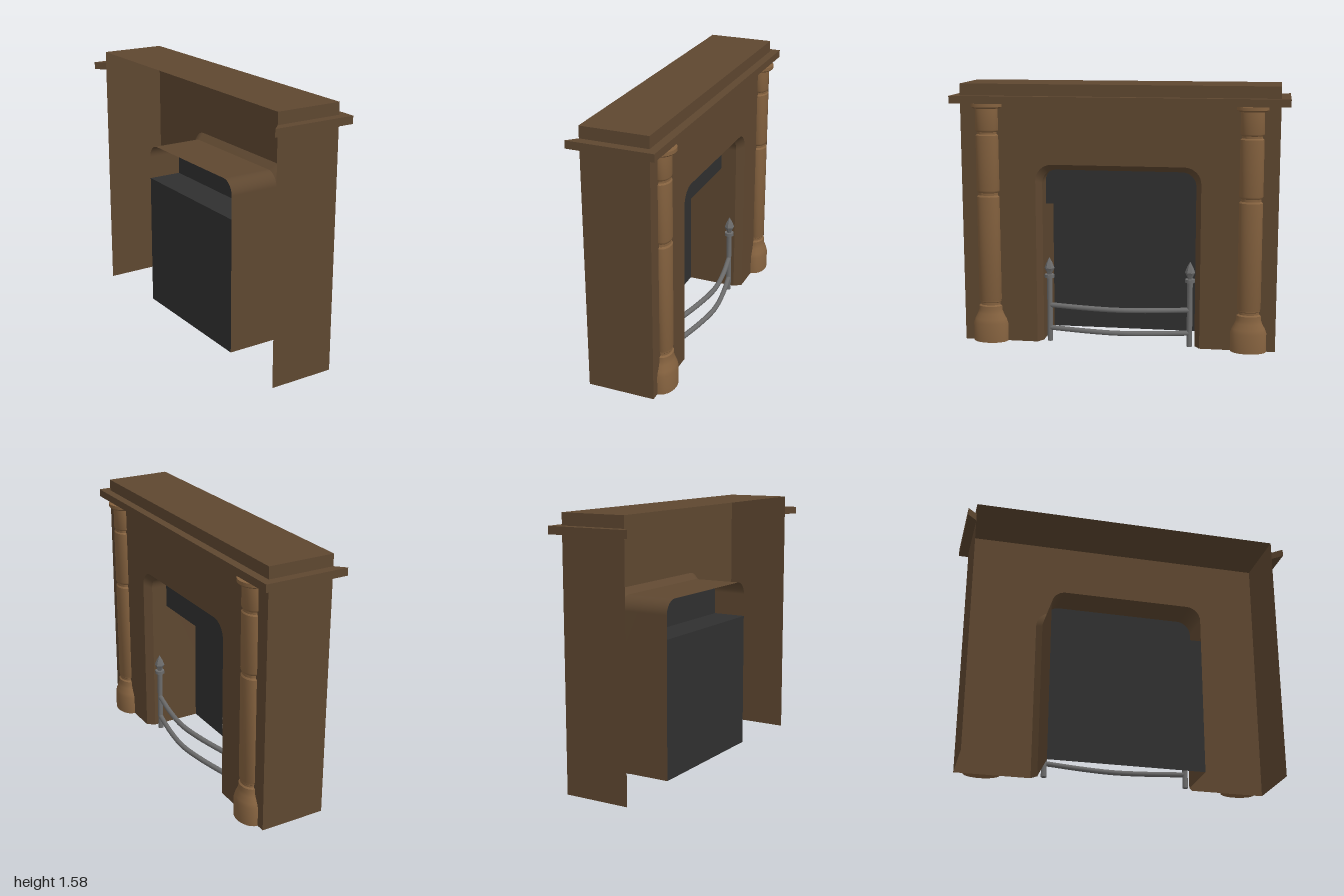
import * as THREE from 'three';
import { toCreasedNormals } from 'three/addons/utils/BufferGeometryUtils.js';

const material = (color) => new THREE.MeshStandardMaterial({ color, side: THREE.DoubleSide });

const BACK = -0.21, FRONT = 0.19, HALF = 0.945, FLOOR = 0.01, TOP = 1.58;
const FIREBOX_BACK = -0.165, HOOD_X = 0.045, HOOD_Y = 0.845;

// Round-cornered arch as [u, y] points, from one foot over the top to the other
function arch(half, top, radius, foot = FLOOR) {
  const points = [[-half, foot]];
  for (const side of [-1, 1]) {
    for (let i = 0; i <= 8; i++) {
      const t = (i / 8) * Math.PI / 2;
      const a = side < 0 ? Math.PI - t : Math.PI / 2 - t;
      points.push([side * (half - radius) + radius * Math.cos(a), top - radius + radius * Math.sin(a)]);
    }
  }
  points.push([half, foot]);
  return points;
}

// Strip of surface between two arches at two depths
function archStrip(a, xa, b, xb) {
  const positions = [], index = [];
  a.forEach(([u, y], i) => {
    positions.push(xa, y, -u, xb, b[i][1], -b[i][0]);
    if (i > 0) {
      const k = 2 * i;
      index.push(k - 2, k - 1, k, k, k - 1, k + 1);
    }
  });
  const geometry = new THREE.BufferGeometry();
  geometry.setAttribute('position', new THREE.Float32BufferAttribute(positions, 3));
  geometry.setIndex(index);
  geometry.computeVertexNormals();
  return geometry;
}

// Flat sheet facing +x, drawn in [u, y]
function sheet(points, x) {
  const shape = new THREE.Shape(points.map(([u, y]) => new THREE.Vector2(u, y)));
  return new THREE.ShapeGeometry(shape).rotateY(Math.PI / 2).translate(x, 0, 0);
}

export function createModel() {
  const model = new THREE.Group();
  const wood = material(0x5e4730), turned = material(0x85623f);
  const soot = material(0x303030), iron = material(0x6c6c6c);

  const add = (name, geometry, mat, parent = model) => {
    const mesh = new THREE.Mesh(geometry, mat);
    mesh.name = name;
    parent.add(mesh);
    return mesh;
  };

  // Surround: front with arched opening, two sides and top; back and bottom open
  const outer = arch(0.495, 1.105, 0.1);
  const inner = arch(0.463, 1.07, 0.085);
  add('frontPanel', sheet([[-HALF, FLOOR], ...outer, [HALF, FLOOR], [HALF, TOP], [-HALF, TOP]], FRONT), wood);
  const depth = FRONT - BACK, midX = (FRONT + BACK) / 2;
  for (const side of [-1, 1]) {
    const panel = new THREE.PlaneGeometry(depth, TOP - FLOOR);
    if (side < 0) panel.rotateY(Math.PI);
    add('sidePanel', panel.translate(midX, (TOP + FLOOR) / 2, side * HALF), wood);
  }
  add('topPanel', new THREE.PlaneGeometry(depth, 2 * HALF).rotateX(-Math.PI / 2).translate(midX, TOP, 0), wood);

  // Mantel moulding around three sides, with mitred back ends
  const ledge = new THREE.Shape([
    [0.24, 1], [-0.265, 1], [BACK, HALF], [FRONT, HALF],
    [FRONT, -HALF], [BACK, -HALF], [-0.265, -1], [0.24, -1],
  ].map(([x, z]) => new THREE.Vector2(x, z)));
  add('mantelMoulding', new THREE.ExtrudeGeometry(ledge, { depth: 0.045, bevelEnabled: false })
    .rotateX(-Math.PI / 2).translate(0, 1.465, 0), wood);

  // Bevelled opening and the lining behind it
  add('openingBevel', archStrip(outer, FRONT, inner, 0.145), wood);
  add('fireboxLining', archStrip(inner, 0.145, inner, FIREBOX_BACK), wood);

  // Firebox back, smoke shelf and hood
  add('fireboxBack', sheet([[-0.463, FLOOR], [0.463, FLOOR], [0.463, HOOD_Y], [-0.463, HOOD_Y]], FIREBOX_BACK), soot);
  add('smokeShelf', new THREE.PlaneGeometry(HOOD_X - FIREBOX_BACK, 0.926).rotateX(-Math.PI / 2)
    .translate((HOOD_X + FIREBOX_BACK) / 2, HOOD_Y, 0), soot);
  add('hood', sheet(arch(0.463, 1.07, 0.085, HOOD_Y), HOOD_X), soot);

  // Flattened half columns with ring grooves, flared base and cap
  const profile = [
    [0, 0.01], [0.107, 0.01], [0.107, 0.125], [0.098, 0.15], [0.08, 0.185], [0.073, 0.205], [0.072, 0.23],
    [0.06, 0.238], [0.06, 0.252], [0.066, 0.257], [0.066, 0.265], [0.07, 0.272],
    [0.069, 0.905], [0.06, 0.915], [0.06, 0.93], [0.066, 0.935], [0.07, 0.945],
    [0.069, 1.275], [0.06, 1.283], [0.06, 1.296], [0.066, 1.3], [0.07, 1.308],
    [0.068, 1.435], [0.08, 1.436], [0.092, 1.445], [0.092, 1.465], [0, 1.465],
  ].map(([r, y]) => new THREE.Vector2(r, y));
  for (const side of [-1, 1]) {
    const column = toCreasedNormals(new THREE.LatheGeometry(profile, 12, 0, Math.PI), 0.7);
    column.scale(0.66, 1, 1);
    // Cap projects a little further than the shaft
    const p = column.attributes.position;
    for (let i = 0; i < p.count; i++) if (p.getY(i) > 1.4355) p.setX(i, p.getX(i) * 1.22);
    add('halfColumn', column.translate(FRONT, 0, side * 0.785), turned);
  }

  // Fender: two finial posts and two bowed rails
  const fender = new THREE.Group();
  fender.name = 'fender';
  model.add(fender);
  const postX = 0.12, postZ = 0.43;
  const finial = [[0, 0.42], [0.014, 0.42], [0.016, 0.43], [0.031, 0.46], [0.018, 0.495], [0, 0.527]]
    .map(([r, y]) => new THREE.Vector2(r, y));
  for (const side of [-1, 1]) {
    const z = side * postZ;
    add('post', toCreasedNormals(new THREE.CylinderGeometry(0.017, 0.017, 0.4, 8), 0.9).translate(postX, 0.2, z), iron, fender);
    add('collar', toCreasedNormals(new THREE.CylinderGeometry(0.031, 0.031, 0.02, 8), 0.9).translate(postX, 0.41, z), iron, fender);
    add('finial', toCreasedNormals(new THREE.LatheGeometry(finial, 6), 0.3).translate(postX, 0, z), iron, fender);
  }
  for (const y of [0.083, 0.227]) {
    const path = new THREE.CatmullRomCurve3(
      [[0.12, -postZ], [0.165, -0.2], [0.185, 0], [0.165, 0.2], [0.12, postZ]]
        .map(([x, z]) => new THREE.Vector3(x, y, z)));
    add('rail', new THREE.TubeGeometry(path, 16, 0.016, 8), iron, fender);
  }

  return model;
}
